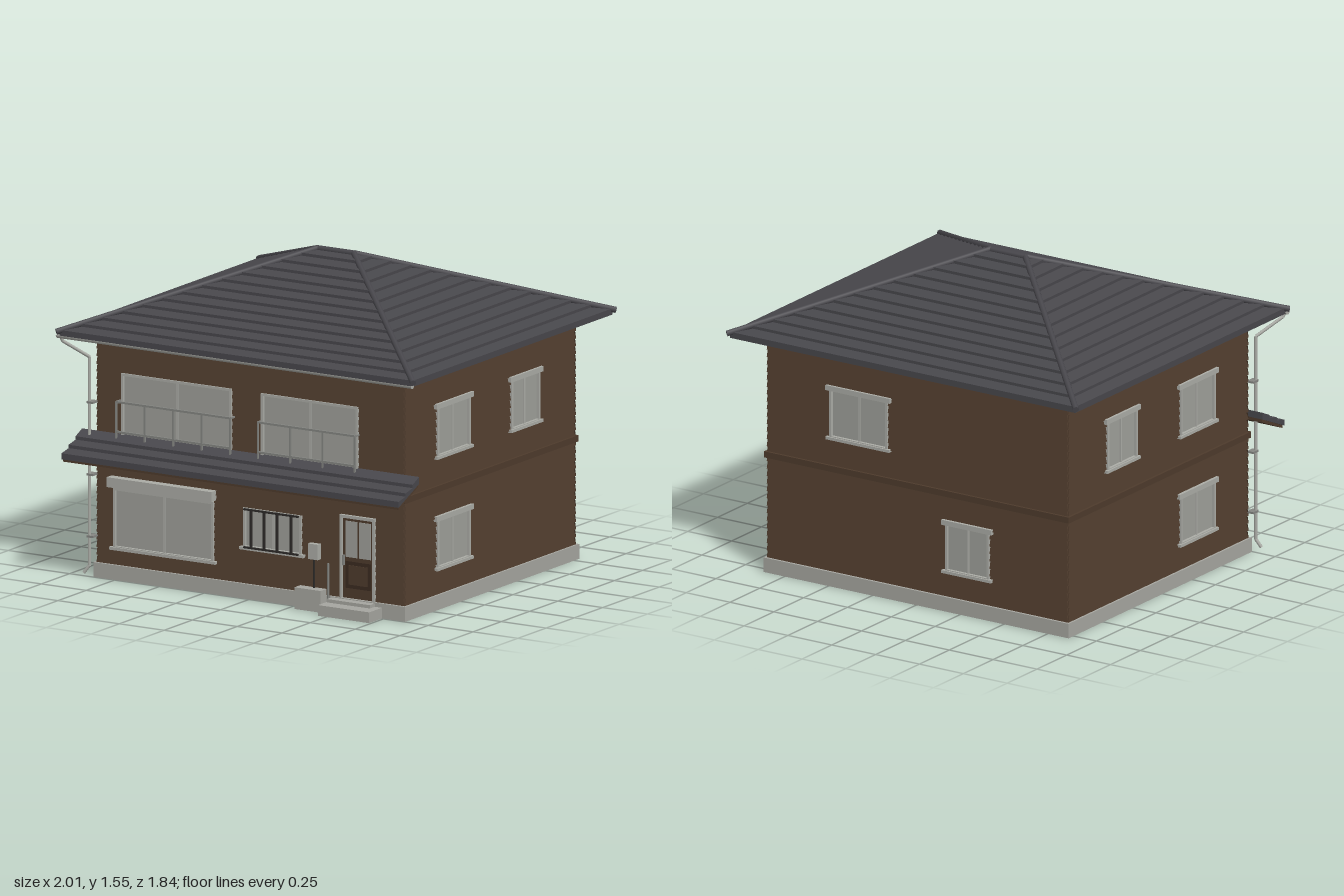
import * as THREE from 'three';

const mat = (name, color, double = false) => {
  const m = new THREE.MeshStandardMaterial({ color, side: double ? THREE.DoubleSide : THREE.FrontSide });
  m.name = name;
  return m;
};

export function createModel() {
  const siding = mat('brown siding', 0x4e3b2c, true);
  const darkWood = mat('dark wood', 0x3a2b20);
  const tile = mat('charcoal tile', 0x48474c, true);
  const trim = mat('pale trim', 0xabaca6, true);
  const glass = mat('grey glass', 0x9fa09a);
  const concrete = mat('concrete', 0xa6a6a0);
  const metal = mat('railing metal', 0x858682);
  const iron = mat('dark iron', 0x2c2927);

  const house = new THREE.Group();
  house.name = 'house';

  const add = (parent, name, geo, material) => {
    const m = new THREE.Mesh(geo, material);
    m.name = name;
    parent.add(m);
    return m;
  };
  // Box given by its limits on each axis
  const box = (parent, name, material, x0, x1, y0, y1, z0, z1) => {
    const m = add(parent, name, new THREE.BoxGeometry(x1 - x0, y1 - y0, z1 - z0), material);
    m.position.set((x0 + x1) / 2, (y0 + y1) / 2, (z0 + z1) / 2);
    return m;
  };
  // Round bar between two points
  const rod = (parent, name, material, a, b, r, sides = 8) => {
    const p = new THREE.Vector3(...a), q = new THREE.Vector3(...b), d = q.clone().sub(p);
    const m = add(parent, name, new THREE.CylinderGeometry(r, r, d.length(), sides), material);
    m.position.copy(p).add(q).multiplyScalar(0.5);
    m.quaternion.setFromUnitVectors(new THREE.Vector3(0, 1, 0), d.normalize());
    return m;
  };
  const fromQuads = (quads) => {
    const pos = [];
    for (const [a, b, c, d] of quads) pos.push(...a, ...b, ...c, ...a, ...c, ...d);
    const g = new THREE.BufferGeometry();
    g.setAttribute('position', new THREE.Float32BufferAttribute(pos, 3));
    g.computeVertexNormals();
    return g;
  };

  // Lapped boards covering u0..u1, cut around rectangular openings
  const Y0 = 0.07, Y1 = 1.18, BOARDS = 30, LAP = 0.009;
  const sidingGeometry = (u0, u1, openings) => {
    const quads = [], h = (Y1 - Y0) / BOARDS;
    for (let i = 0; i < BOARDS; i++) {
      const b = Y0 + i * h, t = b + h;
      const depth = (y) => -LAP * (y - b) / h;
      const cuts = [b, t];
      for (const o of openings) for (const y of [o[2], o[3]]) if (y > b && y < t) cuts.push(y);
      cuts.sort((p, q) => p - q);
      for (let k = 0; k < cuts.length - 1; k++) {
        const lo = cuts[k], hi = cuts[k + 1], mid = (lo + hi) / 2;
        const holes = openings.filter((o) => o[2] < mid && o[3] > mid).sort((p, q) => p[0] - q[0]);
        const edges = [u0, ...holes.flatMap((o) => [o[0], o[1]]), u1];
        for (let e = 0; e < edges.length; e += 2) {
          const l = edges[e], r = edges[e + 1], dl = depth(lo), dh = depth(hi);
          quads.push([[l, lo, dl], [r, lo, dl], [r, hi, dh], [l, hi, dh]]);
          if (k === 0) quads.push([[l, lo, -LAP], [r, lo, -LAP], [r, lo, 0], [l, lo, 0]]);
        }
      }
    }
    return fromQuads(quads);
  };

  // Framed window: [u0, u1, y0, y1], pane count, and head and sill boards
  const addWindow = (wall, [u0, u1, y0, y1], panes, head, sill) => {
    const g = new THREE.Group();
    g.name = 'window';
    wall.add(g);
    const w = 0.012, front = 0.006, back = -0.02;
    box(g, 'glass', glass, u0, u1, y0, y1, -0.014, -0.009);
    box(g, 'frameLeft', trim, u0, u0 + w, y0, y1, back, front);
    box(g, 'frameRight', trim, u1 - w, u1, y0, y1, back, front);
    box(g, 'frameTop', trim, u0 + w, u1 - w, y1 - w, y1, back, front);
    box(g, 'frameBottom', trim, u0 + w, u1 - w, y0, y0 + w, back, front);
    for (let i = 1; i < panes; i++) {
      const u = u0 + (u1 - u0) * i / panes;
      box(g, 'mullion', trim, u - 0.005, u + 0.005, y0 + w, y1 - w, -0.014, -0.003);
    }
    if (head) box(g, 'headBoard', trim, u0 - 0.018, u1 + 0.018, y1 - 0.012, y1 + 0.013, -0.008, 0.012);
    if (sill) box(g, 'sill', trim, u0 - 0.016, u1 + 0.016, y0 - 0.006, y0 + 0.008, -0.008, 0.014);
  };

  const addWall = (name, ry, x, z, u0, u1, windows, extra = []) => {
    const wall = new THREE.Group();
    wall.name = name;
    wall.rotation.y = ry;
    wall.position.set(x, 0, z);
    house.add(wall);
    add(wall, 'siding', sidingGeometry(u0, u1, [...windows.map((w) => w.rect), ...extra]), siding);
    for (const w of windows) addWindow(wall, w.rect, w.panes ?? 2, w.head ?? true, w.sill ?? true);
    box(wall, 'beltBoard', siding, u0 - 0.008, u1 + 0.008, 0.57, 0.6, -0.012, 0.009);
    return wall;
  };

  const ZF = 0.735, ZB = -0.78, X = 0.86;
  const UP = [0.735, 0.985], LOW = [0.195, 0.44];
  const door = [0.5, 0.695, 0.07, 0.47];
  const front = addWall('frontWall', 0, 0, ZF, -X, X, [
    { rect: [-0.72, -0.105, 0.69, 1.005], head: false, sill: false },
    { rect: [0.06, 0.6, 0.69, 1.005], head: false, sill: false },
    { rect: [-0.765, -0.205, 0.15, 0.445], head: false },
    { rect: [-0.04, 0.285, 0.243, 0.44], head: false },
  ], [door]);
  const sideRects = [[0.16, 0.45, ...UP], [-0.455, -0.205, ...UP], [0.16, 0.45, ...LOW]];
  addWall('leftWall', Math.PI / 2, X, 0, -ZF, -ZB, sideRects.map(([a, b, c, d]) => ({ rect: [-b, -a, c, d] })));
  addWall('rightWall', -Math.PI / 2, -X, 0, ZB, ZF, sideRects.map((rect) => ({ rect })));
  addWall('backWall', Math.PI, 0, ZB, -X, X, [
    { rect: [-0.5, -0.17, ...UP] }, { rect: [0.16, 0.41, ...LOW] },
  ]);

  // Shutter box and barred window on the front
  box(front, 'shutterBox', trim, -0.78, -0.195, 0.452, 0.5, -0.01, 0.038);
  for (const u of [0.012, 0.085, 0.158, 0.235]) box(front, 'windowBar', iron, u - 0.005, u + 0.005, 0.25, 0.44, 0.012, 0.022);
  for (const y of [0.25, 0.434]) box(front, 'barRail', iron, -0.03, 0.275, y - 0.004, y + 0.004, 0.008, 0.018);

  // Balcony railings
  for (const [a, b, bays] of [[-0.73, -0.095, 4], [0.06, 0.6, 3]]) {
    for (const y of [0.87, 0.725]) box(front, 'rail', metal, a, b, y - 0.005, y + 0.005, 0.025, 0.035);
    for (let i = 0; i <= bays; i++) {
      const u = a + (b - a) * i / bays;
      box(front, 'railPost', metal, u - 0.004, u + 0.004, 0.69, 0.872, 0.026, 0.034);
    }
    for (const u of [a, b]) box(front, 'railBracket', metal, u - 0.004, u + 0.004, 0.865, 0.873, -0.01, 0.03);
  }

  // Front door
  const doorGroup = new THREE.Group();
  doorGroup.name = 'frontDoor';
  front.add(doorGroup);
  box(doorGroup, 'doorLeaf', siding, 0.51, 0.685, 0.07, 0.46, -0.02, -0.006);
  box(doorGroup, 'jambLeft', trim, 0.5, 0.512, 0.07, 0.472, -0.02, 0.008);
  box(doorGroup, 'jambRight', trim, 0.683, 0.695, 0.07, 0.472, -0.02, 0.008);
  box(doorGroup, 'doorHead', trim, 0.5, 0.695, 0.46, 0.474, -0.02, 0.008);
  for (const u of [0.527, 0.602]) box(doorGroup, 'doorGlass', glass, u, u + 0.066, 0.27, 0.445, -0.022, -0.003);
  box(doorGroup, 'lowerPanel', darkWood, 0.527, 0.668, 0.12, 0.25, -0.01, -0.003);
  box(doorGroup, 'panelCentre', siding, 0.545, 0.65, 0.138, 0.232, -0.006, 0);
  box(doorGroup, 'handle', metal, 0.517, 0.523, 0.23, 0.28, -0.006, 0.01);

  // Open foundation rim
  const FX = 0.87, FF = 0.747, FB = -0.792, T = 0.016;
  box(house, 'foundationFront', concrete, -FX, FX, 0, 0.072, FF - T, FF);
  box(house, 'foundationBack', concrete, -FX, FX, 0, 0.072, FB, FB + T);
  for (const s of [-1, 1]) {
    const x = s * (FX - T / 2);
    box(house, 'foundationSide', concrete, x - T / 2, x + T / 2, 0, 0.072, FB + T, FF - T);
  }

  // Entrance steps, block, letter box and post
  box(house, 'step', concrete, 0.455, 0.74, 0, 0.052, FF, 0.86);
  box(house, 'threshold', concrete, 0.46, 0.7, 0.052, 0.068, FF - 0.01, 0.79);
  box(house, 'block', concrete, 0.285, 0.432, 0, 0.105, FF, 0.8);
  box(house, 'letterBox', trim, 0.34, 0.395, 0.243, 0.318, 0.74, 0.768);
  rod(house, 'letterBoxPost', iron, [0.367, 0.1, 0.757], [0.367, 0.245, 0.757], 0.005);
  rod(house, 'handPost', metal, [0.452, 0, 0.765], [0.452, 0.235, 0.765], 0.005);

  // Hipped roof: stepped rows narrowing to the ridge
  const ROWS = 13, LIP = 0.014, RZ = -0.02, RX = 0.1, EY = 1.192, RY = 1.535;
  const lerp = THREE.MathUtils.lerp;
  const ring = (t, lift) => {
    const x = lerp(0.985, RX, t), zf = lerp(0.865, RZ, t), zb = lerp(-0.905, RZ, t), y = lerp(EY, RY, t) + lift;
    return [[-x, y, zf], [x, y, zf], [x, y, zb], [-x, y, zb]];
  };
  const roofQuads = [];
  for (let i = 0; i < ROWS; i++) {
    const low = ring(i / ROWS, i ? 0 : -0.016), lip = ring(i / ROWS, LIP), top = ring((i + 1) / ROWS, 0);
    for (let k = 0; k < 4; k++) {
      const n = (k + 1) % 4;
      roofQuads.push([low[k], low[n], lip[n], lip[k]], [lip[k], lip[n], top[n], top[k]]);
    }
  }
  add(house, 'roof', fromQuads(roofQuads), tile);
  box(house, 'soffit', darkWood, -0.978, 0.978, 1.174, 1.18, -0.898, 0.858);
  const foot = ring(-0.012, 0.01), crown = ring(1, 0.003);
  for (let k = 0; k < 4; k++) rod(house, 'hipCap', tile, foot[k], crown[k], 0.015);
  rod(house, 'ridgeCap', tile, [-RX - 0.01, RY + 0.002, RZ], [RX + 0.01, RY + 0.002, RZ], 0.015);

  // Front canopy with three tile rows over a wooden deck
  const extrudeAcross = (points, half) => {
    const shape = new THREE.Shape(points.map(([z, y]) => new THREE.Vector2(z, y)));
    const g = new THREE.ExtrudeGeometry(shape, { depth: half * 2, bevelEnabled: false });
    return g.rotateY(-Math.PI / 2).translate(half, 0, 0);
  };
  const canopy = [[0.735, 0.675], [0.917, 0.595]];
  for (let i = 0; i < 3; i++) {
    const a = i / 3, b = (i + 1) / 3;
    canopy.push([lerp(0.917, 0.73, a), lerp(0.608, 0.695, a) + 0.016], [lerp(0.917, 0.73, b), lerp(0.608, 0.695, b)]);
  }
  canopy.splice(-1, 1, [0.735, 0.709]);
  add(house, 'canopyTiles', extrudeAcross(canopy, 0.94), tile);
  add(house, 'canopyDeck', extrudeAcross([[0.735, 0.66], [0.91, 0.583], [0.91, 0.597], [0.735, 0.675]], 0.935), siding);

  // Gutter and downpipe
  const gutter = new THREE.CylinderGeometry(0.016, 0.016, 1.98, 10, 1, false, Math.PI, Math.PI).rotateZ(Math.PI / 2);
  add(house, 'gutter', gutter, trim).position.set(0, 1.185, 0.873);
  const pipe = [[-0.97, 1.172, 0.873], [-0.965, 1.155, 0.865], [-0.88, 1.07, 0.765], [-0.88, 0.06, 0.765], [-0.905, 0.022, 0.775]];
  for (let i = 0; i < pipe.length - 1; i++) rod(house, 'downpipe', trim, pipe[i], pipe[i + 1], 0.008);
  for (const y of [0.2, 0.5, 0.85]) box(house, 'pipeClip', metal, -0.89, -0.855, y - 0.005, y + 0.005, 0.73, 0.775);

  return house;
}
